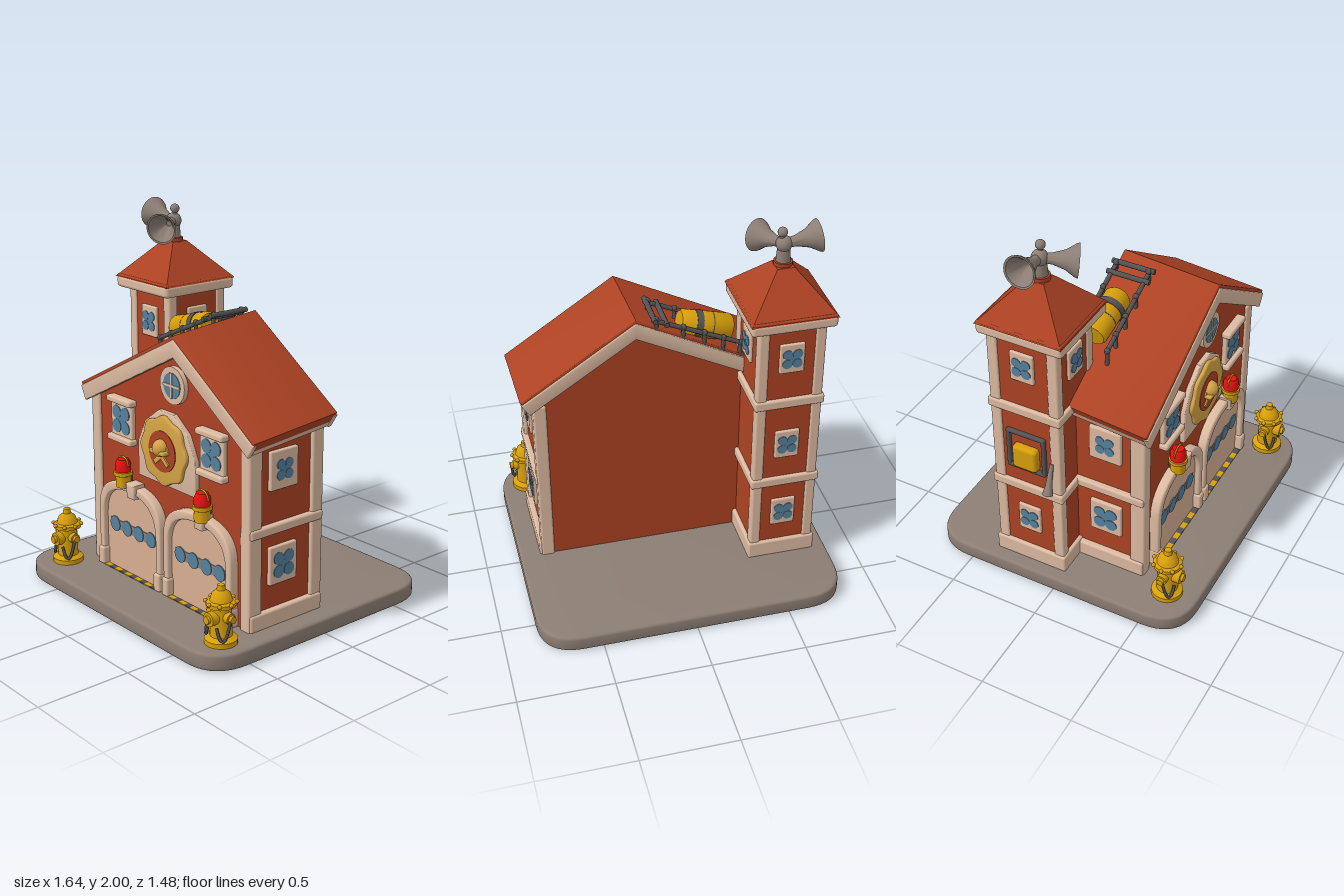
import * as THREE from 'three';
import { RoundedBoxGeometry } from 'three/addons/geometries/RoundedBoxGeometry.js';
import { toCreasedNormals } from 'three/addons/utils/BufferGeometryUtils.js';

const paint = (name, color) => Object.assign(new THREE.MeshStandardMaterial({ color }), { name });
const M = {
  red: paint('brick red', 0xad4223), trim: paint('cream trim', 0xdcbaa1), door: paint('door tan', 0xd8ae93),
  stone: paint('warm grey', 0x8c7e74), under: paint('slab underside', 0xac9683), dark: paint('dark iron', 0x545253),
  yellow: paint('safety yellow', 0xd79f0c), gold: paint('badge gold', 0xd4a446),
  glass: paint('window blue', 0x54809c), lamp: paint('lamp red', 0xe81010),
};

function add(parent, name, geo, mat, x = 0, y = 0, z = 0, rx = 0, ry = 0, rz = 0) {
  const m = new THREE.Mesh(geo, mat);
  m.name = name;
  m.position.set(x, y, z);
  m.rotation.set(rx, ry, rz);
  parent.add(m);
  return m;
}
function group(parent, name, x = 0, y = 0, z = 0, ry = 0) {
  const g = new THREE.Group();
  g.name = name;
  g.position.set(x, y, z);
  g.rotation.y = ry;
  parent.add(g);
  return g;
}
const box = (w, h, d) => new THREE.BoxGeometry(w, h, d);
const soft = (w, h, d, r = 0.012) => new RoundedBoxGeometry(w, h, d, 2, r);
const cyl = (r1, r2, h, n = 20) => new THREE.CylinderGeometry(r1, r2, h, n);
const ball = (r) => new THREE.SphereGeometry(r, 16, 12);
const lathe = (pts, n = 24) =>
  toCreasedNormals(new THREE.LatheGeometry(pts.map((p) => new THREE.Vector2(...p)), n), 0.7);
const poly = (pts) => new THREE.Shape(pts.map((p) => new THREE.Vector2(...p)));
const extrude = (shape, depth, bevel = 0) => toCreasedNormals(new THREE.ExtrudeGeometry(shape, {
  depth, bevelEnabled: bevel > 0, bevelSize: bevel, bevelThickness: bevel, bevelOffset: -bevel, bevelSegments: 3, curveSegments: 10,
}), 0.6);
const disc = (parent, name, r, d, mat, x, y, z) => add(parent, name, cyl(r, r, d, 24), mat, x, y, z, Math.PI / 2);
function rod(parent, name, a, b, r, mat) {
  const p = new THREE.Vector3(...a), q = new THREE.Vector3(...b), d = q.clone().sub(p);
  const m = add(parent, name, cyl(r, r, d.length(), 10), mat, ...p.clone().add(q).multiplyScalar(0.5).toArray());
  m.quaternion.setFromUnitVectors(new THREE.Vector3(0, 1, 0), d.normalize());
}

// Framed window facing +z, with four round panes of radius r
function addWindow(parent, x, y, z, ry, w, h, r, sill) {
  const g = group(parent, 'window', x, y, z, ry);
  add(g, 'windowFrame', soft(w, h, 0.03, 0.008), M.trim);
  for (const i of [-1, 1]) for (const j of [-1, 1])
    disc(g, 'windowPane', r, 0.008, M.glass, i * r, j * r * 1.05, 0.015);
  add(g, 'windowGlass', box(r * 2, r * 2, 0.006), M.glass, 0, 0, 0.014);
  if (sill) for (const j of [-1, 1])
    add(g, 'windowLedge', soft(w + 0.025, 0.035, 0.055), M.trim, 0, j * h / 2, 0.012);
}

// Chevron layer under the roof line with square-cut ends, tilted down towards the front
function roofLayer(top, bottom, z0, z1, out = 0) {
  const left = (t) => [-0.63 - out + t * 0.4, 1.125 - out * 0.5 - t * 0.8];
  const right = (t) => [0.765 + out - t * 0.45, 1.13 - out * 0.65 - t * 0.7];
  const apex = (t) => [0.165, 1.53 - t];
  const g = extrude(poly([left(bottom), apex(bottom), right(bottom), right(top), apex(top), left(top)]), z1 - z0, 0.008);
  g.translate(0, 0, z0);
  const p = g.attributes.position;
  for (let i = 0; i < p.count; i++) p.setY(i, p.getY(i) - (p.getZ(i) + 0.08) * 0.09);
  return g;
}

// Garage arch outline
function arch(w, top, base, path = new THREE.Shape()) {
  path.moveTo(-w, base);
  path.lineTo(w, base);
  path.lineTo(w, top - 0.19);
  path.bezierCurveTo(w, top - 0.05, w * 0.6, top, 0, top);
  path.bezierCurveTo(-w * 0.6, top, -w, top - 0.05, -w, top - 0.19);
  path.closePath();
  return path;
}

function addGarage(parent, cx) {
  const g = group(parent, 'garage', cx, 0, 0.4);
  const frame = arch(0.265, 0.61, 0.02);
  frame.holes.push(arch(0.226, 0.565, 0.06, new THREE.Path()));
  add(g, 'doorArch', extrude(frame, 0.04, 0.01), M.trim);
  add(g, 'garageDoor', extrude(arch(0.24, 0.58, 0.08), 0.02), M.door);
  for (const i of [-1.5, -0.5, 0.5, 1.5])
    disc(g, 'doorPane', 0.042, 0.008, M.glass, i * 0.103, 0.34, 0.022);
  add(g, 'doorPaneStrip', soft(0.4, 0.055, 0.008, 0.003), M.stone, 0, 0.34, 0.019);
  for (const s of [-1, 1]) add(g, 'archFoot', soft(0.05, 0.1, 0.075), M.trim, s * 0.243, 0.14, 0.025);
  add(g, 'keystone', extrude(poly([[-0.028, 0.545], [0.028, 0.545], [0.038, 0.625], [-0.038, 0.625]]), 0.06, 0.008), M.trim, 0.04);
  // striped line on the doorstep
  for (let i = 0; i < 10; i++)
    add(g, 'groundStripe', box(0.044, 0.006, 0.03), i % 2 ? M.dark : M.yellow, -0.198 + i * 0.044, 0.092, 0.04);
}

function addLamp(parent, x) {
  const g = group(parent, 'alarmLamp', x, 0.59, 0.445);
  add(g, 'lampBase', lathe([[0, 0], [0.04, 0], [0.04, 0.06], [0.05, 0.065], [0.05, 0.085], [0, 0.085]]), M.yellow);
  add(g, 'lampGlass', lathe([[0, 0.08], [0.042, 0.08], [0.042, 0.125], [0.03, 0.15], [0, 0.16]]), M.lamp);
  add(g, 'lampCage', new THREE.TorusGeometry(0.046, 0.005, 6, 20, Math.PI), M.yellow, 0, 0.118);
  add(g, 'lampBracket', box(0.04, 0.05, 0.05), M.dark, 0, 0.04, -0.03);
}

function addHydrant(parent, x) {
  const g = group(parent, 'hydrant', x, 0.09, 0.57);
  add(g, 'hydrantBody', lathe([[0, 0], [0.082, 0], [0.082, 0.025], [0.055, 0.04], [0.052, 0.19], [0.074, 0.195], [0.074, 0.215],
    [0.056, 0.222], [0.046, 0.255], [0.022, 0.275], [0.018, 0.3], [0, 0.303]]), M.yellow);
  add(g, 'sideOutlet', cyl(0.028, 0.028, 0.15), M.yellow, 0, 0.145, 0, 0, 0, Math.PI / 2);
  for (const s of [-1, 1]) {
    add(g, 'outletCap', cyl(0.019, 0.019, 0.185, 6), M.yellow, 0, 0.145, 0, 0, 0, Math.PI / 2);
    add(g, 'chain', new THREE.TubeGeometry(new THREE.QuadraticBezierCurve3(new THREE.Vector3(s * 0.082, 0.14, 0.01),
      new THREE.Vector3(s * 0.075, -0.05, 0.05), new THREE.Vector3(s * 0.03, 0.1, 0.055)), 12, 0.008, 6), M.dark);
  }
  disc(g, 'frontOutlet', 0.036, 0.08, M.yellow, 0, 0.14, 0.04);
  disc(g, 'frontCap', 0.02, 0.02, M.yellow, 0, 0.14, 0.085);
  for (let i = 0; i < 8; i++)
    add(g, 'flangeBolt', ball(0.011), M.yellow, 0.076 * Math.cos(i * Math.PI / 4), 0.215, 0.076 * Math.sin(i * Math.PI / 4));
}

function addEmblem(parent) {
  const g = group(parent, 'emblem', 0.075, 0.87, 0.4);
  const panel = poly([[-0.23, -0.19], [0.23, -0.19], [0.23, 0], [0.17, 0.12], [0.06, 0.2], [-0.06, 0.2], [-0.17, 0.12], [-0.23, 0]]);
  add(g, 'emblemPanel', extrude(panel, 0.02, 0.008), M.trim);
  const scallop = Array.from({ length: 64 }, (_, i) => {
    const a = i * Math.PI / 32, r = 0.178 + 0.008 * Math.cos(8 * a);
    return [r * Math.cos(a), r * Math.sin(a)];
  });
  add(g, 'emblemBadge', extrude(poly(scallop), 0.02, 0.008), M.gold, 0, 0, 0.02);
  disc(g, 'emblemField', 0.108, 0.008, M.red, 0, 0, 0.048);
  for (const s of [-1, 1]) add(g, 'crossedHandle', box(0.14, 0.025, 0.012), M.gold, 0, -0.02, 0.054, 0, 0, s * 0.7);
  add(g, 'helmet', ball(0.046), M.gold, 0, 0.02, 0.056);
  add(g, 'helmetBrim', soft(0.12, 0.022, 0.05, 0.008), M.gold, 0, 0.003, 0.066);
}

function addHall(parent) {
  const g = group(parent, 'hall');
  add(g, 'hallWalls', extrude(poly([[-0.56, 0.08], [0.68, 0.08], [0.68, 1.08], [0.165, 1.42], [-0.56, 1.055]]), 0.46), M.red, 0, 0, -0.06);
  for (const x of [-0.545, 0.665]) {
    add(g, 'frontCornerTrim', soft(0.07, 0.97, 0.085), M.trim, x, 0.56, 0.373);
    add(g, 'backCornerTrim', soft(0.07, 1.0, 0.075), M.trim, x, 0.575, -0.033);
    const s = Math.sign(x), face = s > 0 ? 0.685 : -0.565;
    add(g, 'sideBand', soft(0.05, 0.05, 0.474), M.trim, face, 0.595, 0.173);
    add(g, 'sidePlinth', soft(0.05, 0.09, 0.474), M.trim, face, 0.13, 0.173);
    addWindow(g, face, 0.4, 0.19, s * Math.PI / 2, 0.18, 0.2, 0.033);
    addWindow(g, face, 0.89, 0.19, s * Math.PI / 2, 0.18, 0.2, 0.026);
  }
  // red roof over a cream soffit, with cream boards on both gables
  add(g, 'roofTiles', roofLayer(0, 0.07, -0.085, 0.435), M.red);
  add(g, 'roofSoffit', roofLayer(0.06, 0.11, -0.08, 0.43), M.trim);
  for (const z of [-0.092, 0.428]) add(g, 'gableBoard', roofLayer(0.018, 0.112, z, z + 0.014, 0.004), M.trim);
  for (const x of [-0.22, 0.335]) addGarage(g, x);
  for (const x of [-0.265, 0.385]) addLamp(g, x);
  for (const x of [-0.3, 0.43]) addWindow(g, x, 0.94, 0.41, 0, 0.18, 0.21, 0.036, true);
  addEmblem(g);
  // round gable window
  disc(g, 'roundFrame', 0.097, 0.04, M.trim, 0.13, 1.22, 0.405);
  disc(g, 'roundGlass', 0.066, 0.008, M.glass, 0.13, 1.22, 0.424);
  add(g, 'mullion', box(0.012, 0.13, 0.008), M.trim, 0.13, 1.22, 0.428);
  add(g, 'mullion', box(0.13, 0.012, 0.008), M.trim, 0.13, 1.22, 0.428);
}

function addRack(parent) {
  const g = group(parent, 'roofRack');
  const top = (x) => 1.44 + (x - 0.07) * 0.46;
  for (const z of [-0.085, 0.1]) {
    rod(g, 'rackRail', [-0.39, top(-0.39) + 0.08, z], [0.08, top(0.08) + 0.07, z], 0.012, M.dark);
    for (const x of [-0.38, -0.29, -0.19, -0.08, 0.06]) {
      rod(g, 'rackPost', [x, top(x) - 0.03, z], [x, top(x) + 0.09, z], 0.011, M.dark);
      add(g, 'rackKnob', ball(0.016), M.dark, x, top(x) + 0.08, z);
    }
  }
  for (const x of [0.01, 0.07]) rod(g, 'rackBar', [x, top(x) + 0.075, -0.11], [x, top(x) + 0.075, 0.13], 0.014, M.dark);
  // tank strapped in the rack
  const t = group(g, 'tank', -0.215, 1.39, 0.005);
  t.rotation.z = 0.25;
  add(t, 'tankBody', lathe([[0, -0.14], [0.06, -0.14], [0.07, -0.125], [0.07, 0.125], [0.06, 0.14], [0, 0.14]]), M.yellow, 0, 0, 0, 0, 0, -Math.PI / 2);
  add(t, 'tankStrap', cyl(0.074, 0.074, 0.035, 24), M.dark, 0.045, 0, 0, 0, 0, Math.PI / 2);
  add(t, 'tankGroove', cyl(0.071, 0.071, 0.005, 24), M.dark, -0.03, 0, 0, 0, 0, Math.PI / 2);
}

function addTower(parent) {
  const g = group(parent, 'tower', -0.565, 0, -0.165);
  const hx = 0.165, hz = 0.185;
  add(g, 'towerWalls', box(hx * 2, 1.46, hz * 2), M.red, 0, 0.82);
  for (const x of [-1, 1]) for (const z of [-1, 1])
    add(g, 'towerCornerTrim', soft(0.055, 1.46, 0.06), M.trim, x * (hx - 0.018), 0.82, z * (hz - 0.02));
  for (const y of [0.59, 1.09]) add(g, 'towerBand', soft(0.37, 0.055, 0.41), M.trim, 0, y);
  add(g, 'towerPlinth', soft(0.37, 0.1, 0.41), M.trim, 0, 0.135);
  const face = (y, a) => addWindow(g, Math.sin(a) * hx, y, Math.cos(a) * hz, a, 0.13, 0.17, 0.026);
  for (const a of [0, Math.PI / 2, Math.PI, -Math.PI / 2]) face(1.36, a);
  for (const y of [0.38, 0.83]) face(y, Math.PI);
  face(0.38, -Math.PI / 2);
  // hose hung inside an open frame on the outer face
  const c = group(g, 'hoseCabinet', -hx, 0.83, 0, -Math.PI / 2);
  for (const s of [-1, 1]) {
    add(c, 'cabinetSide', soft(0.022, 0.24, 0.04, 0.008), M.dark, s * 0.1);
    add(c, 'cabinetRail', soft(0.22, 0.022, 0.04, 0.008), M.dark, 0, s * 0.11);
  }
  add(c, 'hoseBundle', soft(0.14, 0.14, 0.06, 0.02), M.yellow, 0, -0.03, 0.01);
  add(c, 'nozzle', lathe([[0, 0], [0.028, 0], [0.018, 0.05], [0.01, 0.17], [0, 0.17]], 14), M.stone, 0.145, -0.18, 0.06, -0.3);
  // eave and pyramid roof
  add(g, 'towerEave', soft(0.445, 0.065, 0.47, 0.02), M.trim, 0, 1.555, 0.015);
  const pyramid = new THREE.CylinderGeometry(0.045, 0.225, 0.2, 4).rotateY(Math.PI / 4).scale(Math.SQRT2, 1, Math.SQRT2 * 1.05).toNonIndexed();
  pyramid.computeVertexNormals();
  add(g, 'towerRoof', pyramid, M.red, 0, 1.68, 0.015);
  add(g, 'towerRoofEdge', soft(0.44, 0.022, 0.465, 0.01), M.red, 0, 1.584, 0.015);
  add(g, 'roofCollar', cyl(0.048, 0.048, 0.03), M.red, 0, 1.785, 0.02);
  // siren with two horns
  const s = group(g, 'siren', 0, 1.8, 0.02);
  add(s, 'sirenPost', cyl(0.032, 0.038, 0.09), M.stone, 0, 0.03);
  add(s, 'sirenHub', ball(0.042), M.stone, 0, 0.09);
  add(s, 'sirenStem', cyl(0.012, 0.015, 0.08), M.stone, 0.01, 0.13);
  add(s, 'sirenKnob', ball(0.025), M.stone, 0.01, 0.155);
  const horn = lathe([[0, 0], [0.022, 0], [0.028, 0.06], [0.048, 0.12], [0.078, 0.165], [0.084, 0.18], [0.074, 0.178], [0.038, 0.12], [0.015, 0.07], [0, 0.07]]);
  for (const d of [[-1, 0.13, 0], [0.5, -0.12, 0.87]]) {
    const h = add(s, 'horn', horn, M.stone, 0, 0.09, 0);
    h.quaternion.setFromUnitVectors(new THREE.Vector3(0, 1, 0), new THREE.Vector3(...d).normalize());
  }
}

// Rectangle with rounded corners, half sizes w and d
function roundedRect(w, d, r) {
  const s = new THREE.Shape();
  s.moveTo(-w + r, -d);
  s.lineTo(w - r, -d).quadraticCurveTo(w, -d, w, -d + r);
  s.lineTo(w, d - r).quadraticCurveTo(w, d, w - r, d);
  s.lineTo(-w + r, d).quadraticCurveTo(-w, d, -w, d - r);
  s.lineTo(-w, -d + r).quadraticCurveTo(-w, -d, -w + r, -d);
  return s;
}

export function createModel() {
  const model = new THREE.Group();
  model.name = 'fireStation';
  add(model, 'groundSlab', extrude(roundedRect(0.82, 0.74, 0.22), 0.058, 0.015), M.stone, 0, 0.017, 0, -Math.PI / 2);
  add(model, 'slabUnderside', extrude(roundedRect(0.8, 0.72, 0.21), 0.004), M.under, 0, 0, 0, -Math.PI / 2);
  addHall(model);
  addRack(model);
  addTower(model);
  for (const x of [-0.62, 0.675]) addHydrant(model, x);
  return model;
}
